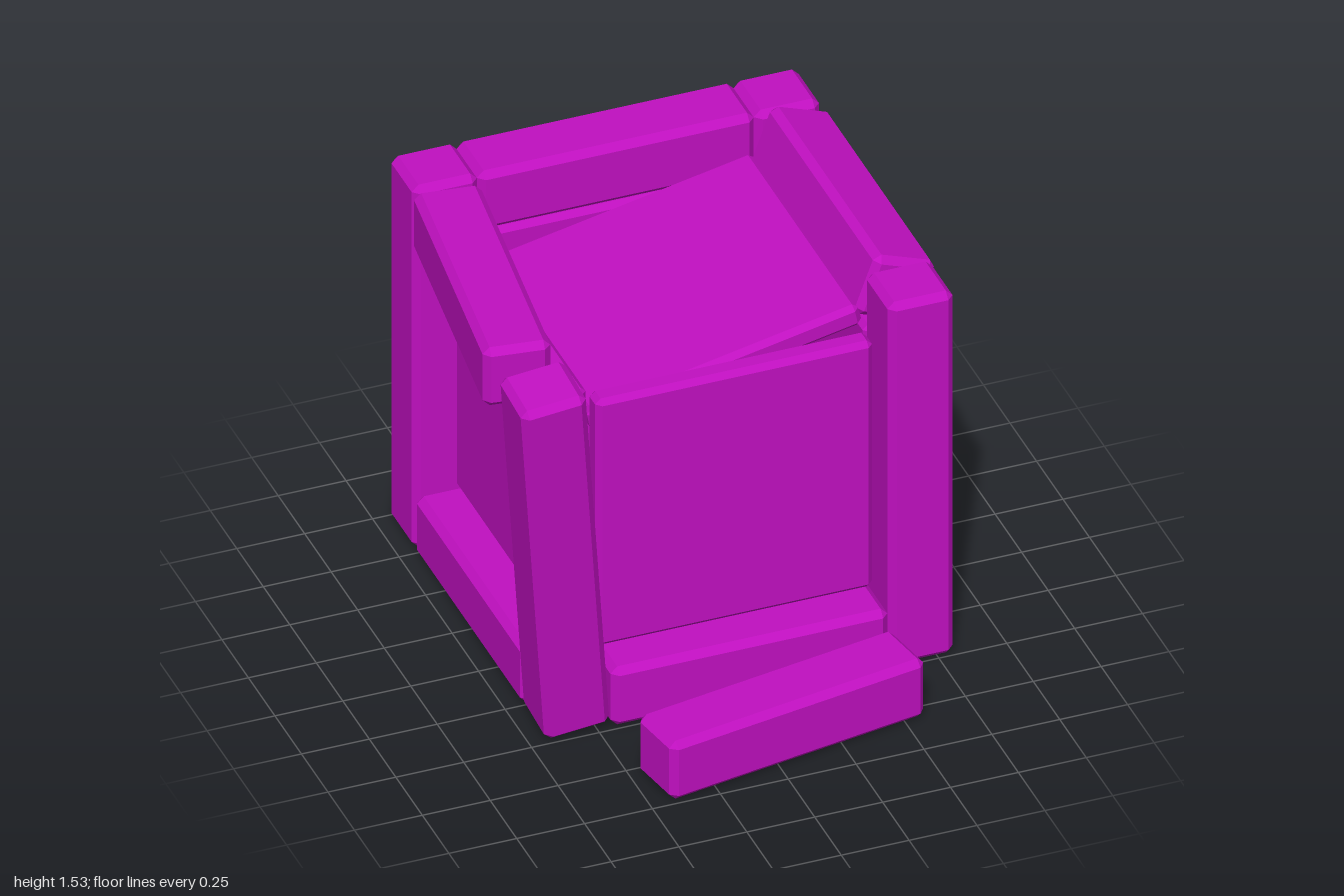
import * as THREE from 'three';
import { ConvexGeometry } from 'three/addons/geometries/ConvexGeometry.js';

const T = 0.24;    // beam thickness
const P = 0.09;    // panel thickness
const L = 1.02;    // length between posts
const H = 1.5;     // post height
const CX = 0.06, CZ = -0.25;   // centre of the crate body
const R = 0.63;    // centre of the body to centre of a beam

// Box with every edge and corner cut off flat
function chamferedBox(w, h, d, c = 0.025) {
  const points = [];
  for (const x of [-0.5, 0.5]) for (const y of [-0.5, 0.5]) for (const z of [-0.5, 0.5]) {
    const corner = new THREE.Vector3(x * w, y * h, z * d);
    for (const axis of ['x', 'y', 'z']) {
      const p = corner.clone();
      for (const other of ['x', 'y', 'z']) {
        if (other !== axis) p[other] -= Math.sign(p[other]) * c;
      }
      points.push(p);
    }
  }
  return new ConvexGeometry(points);
}

export function createModel() {
  const crate = new THREE.Group();
  crate.name = 'brokenCrate';
  const material = new THREE.MeshStandardMaterial({ color: 0xc010c0, flatShading: true });

  const add = (name, geometry, position, rotation = [0, 0, 0]) => {
    const mesh = new THREE.Mesh(geometry, material);
    mesh.name = name;
    mesh.position.set(...position);
    mesh.rotation.set(...rotation);
    crate.add(mesh);
  };

  const post = chamferedBox(T, H, T);
  const beamX = chamferedBox(L, T, T);
  const beamZ = chamferedBox(T, T, L);
  const panelX = chamferedBox(P, L, L, 0.02);
  const panelY = chamferedBox(L, P, L, 0.02);
  const panelZ = chamferedBox(L, L, P, 0.02);

  // Corner posts; the front right one has come loose and leans outward
  add('frontLeftPost', post, [CX + R, H / 2, CZ + R]);
  add('backLeftPost', post, [CX + R, H / 2, CZ - R]);
  add('backRightPost', post, [CX - R, H / 2, CZ - R]);
  add('leaningFrontRightPost', post, [-0.647, 0.765, 0.455], [0.1, 0, 0.098]);

  // Bottom frame and the side panels set into it
  const panelOffset = L / 2 + P / 2;
  for (const s of [1, -1]) {
    const side = s > 0 ? 'left' : 'right';
    const end = s > 0 ? 'front' : 'back';
    add(side + 'BottomBeam', beamZ, [CX + s * R, T / 2, CZ]);
    add(end + 'BottomBeam', beamX, [CX, T / 2, CZ + s * R]);
    add(side + 'Panel', panelX, [CX + s * panelOffset, T + L / 2, CZ]);
    add(end + 'Panel', panelZ, [CX, T + L / 2, CZ + s * panelOffset]);
  }
  add('bottomPanel', panelY, [CX, T - P / 2, CZ]);

  // Top beams: one in place, one rolled, one swung out, one on the ground
  add('backTopBeam', beamX, [CX, H - T / 2, CZ - R]);
  add('rolledLeftTopBeam', beamZ, [CX + R, 1.387, CZ], [0, 0, -0.35]);
  add('swungRightTopBeam', beamZ, [-0.643, H - T / 2, -0.24], [0, -0.128, 0]);
  add('fallenFrontTopBeam', beamX, [0.057, T / 2, 0.793], [0, 0.174, 0]);

  // Lid sagging into the crate
  add('saggingLid', panelY, [CX, 1.215, CZ], [0, 0, 0.2]);

  return crate;
}
